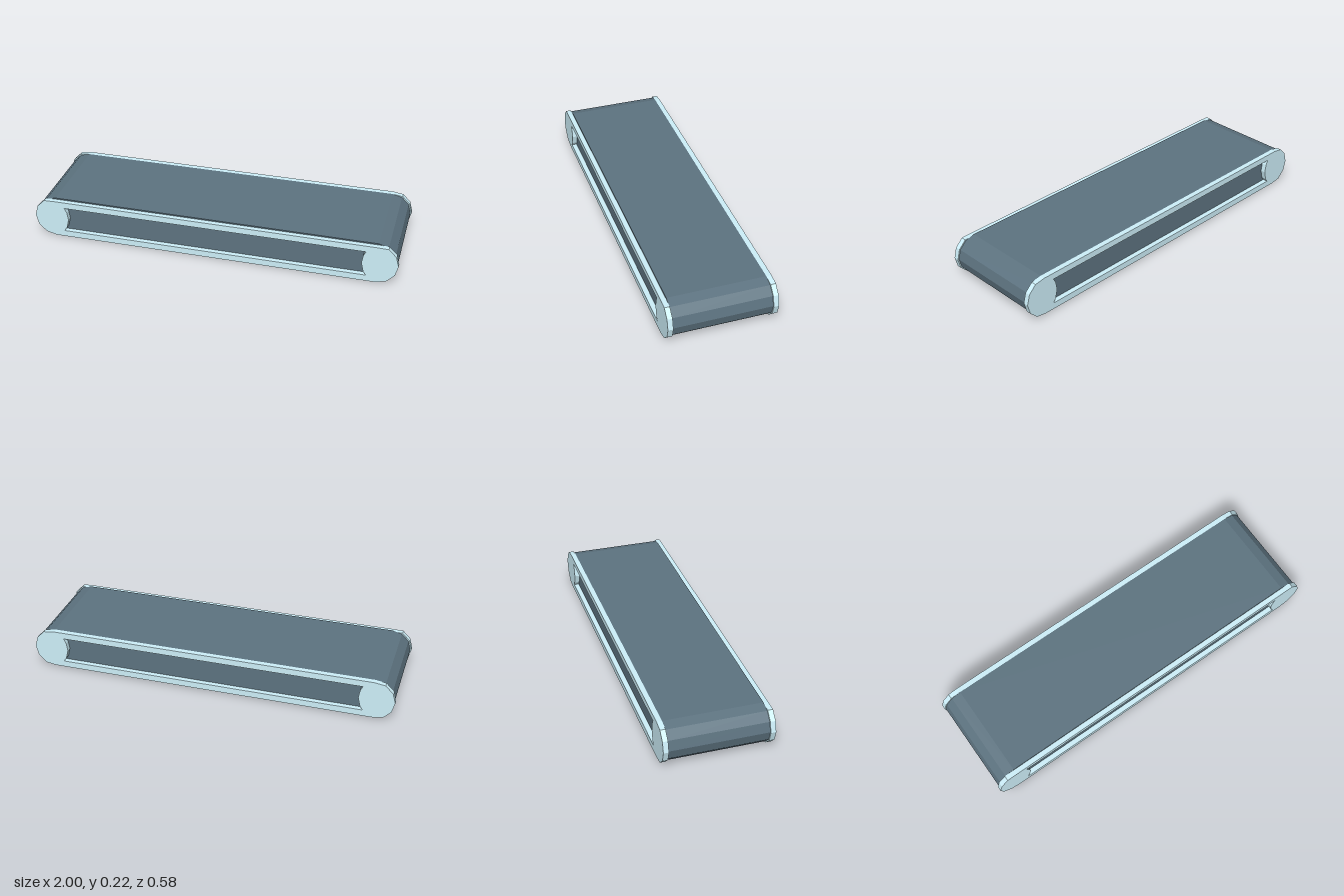
import * as THREE from 'three';

const END_X = 0.887, MID_Y = 0.1135;

// Long rounded outline with 12-sided ends, clipped between two heights
function trackPoints(r, low, high) {
  const points = [];
  for (const side of [1, -1]) {
    for (let i = 0; i <= 6; i++) {
      const a = -Math.PI / 2 + (i * Math.PI) / 6;
      const x = side * (END_X + r * Math.cos(a));
      const y = side * r * Math.sin(a);
      points.push(new THREE.Vector2(x, THREE.MathUtils.clamp(y, low, high)));
    }
  }
  return points;
}

// Extrudes from z to z + depth, centred on the roller height
function extrude(shape, z, depth, color, name) {
  const geometry = new THREE.ExtrudeGeometry(shape, { depth, bevelEnabled: false });
  const material = new THREE.MeshStandardMaterial({ color, flatShading: true });
  const mesh = new THREE.Mesh(geometry, material);
  mesh.name = name;
  mesh.position.set(0, MID_Y, z);
  return mesh;
}

// Side plate with a slot between the end discs
function sidePlate(name, z, low, high) {
  const shape = new THREE.Shape(trackPoints(0.113, low, high));
  const middle = (low + high) / 2;
  const slotEnd = [[0.835, -0.0715], [0.82, -0.05], [0.808, 0], [0.815, 0.045], [0.828, 0.0715]];
  const right = slotEnd.map(([x, y]) => new THREE.Vector2(x, middle + y));
  const left = slotEnd.map(([x, y]) => new THREE.Vector2(-x, middle + y)).reverse();
  shape.holes.push(new THREE.Path([...right, ...left].reverse()));
  return extrude(shape, z, 0.028, 0xcdeff9, name);
}

export function createModel() {
  const model = new THREE.Group();
  model.name = 'conveyor';

  // Solid belt body
  const beltShape = new THREE.Shape(trackPoints(0.1065, -0.1065, 0.1065));
  model.add(extrude(beltShape, -0.26, 0.52, 0x5d7380, 'belt'));

  // The front plate sits a little lower than the back one
  model.add(sidePlate('frontSidePlate', 0.26, -0.113, 0.0995));
  model.add(sidePlate('backSidePlate', -0.288, -0.1065, 0.1065));
  return model;
}
